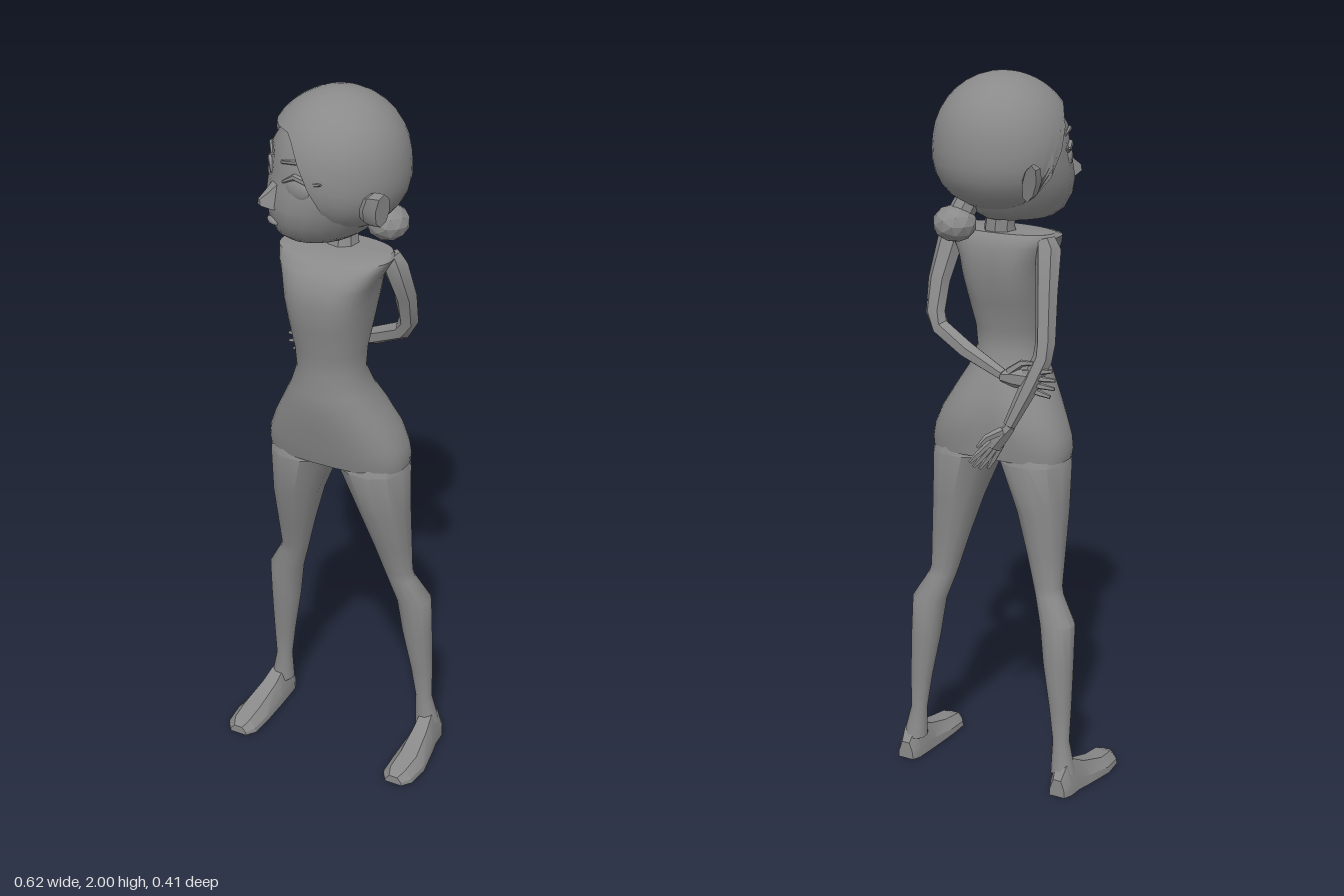
import * as THREE from 'three';
import { toCreasedNormals } from 'three/addons/utils/BufferGeometryUtils.js';

const material = new THREE.MeshStandardMaterial({ color: 0x8a8a8a });
const V = (x, y, z) => new THREE.Vector3(x, y, z);

// Skin a closed surface over rings of points, capped at both ends
function loft(rings, crease = 0.6) {
  const n = rings[0].length, pos = [], idx = [];
  rings.forEach(r => r.forEach(p => pos.push(p.x, p.y, p.z)));
  for (let i = 0; i < rings.length - 1; i++)
    for (let j = 0; j < n; j++) {
      const a = i * n + j, b = i * n + (j + 1) % n;
      idx.push(a, a + n, b, b, a + n, b + n);
    }
  [0, rings.length - 1].forEach((k, end) => {
    const c = V(0, 0, 0);
    rings[k].forEach(p => c.addScaledVector(p, 1 / n));
    const ci = pos.length / 3;
    pos.push(c.x, c.y, c.z);
    for (let j = 0; j < n; j++) {
      const a = k * n + j, b = k * n + (j + 1) % n;
      if (end) idx.push(a, ci, b); else idx.push(a, b, ci);
    }
  });
  // Turn the faces outward whichever way the rings run
  const at = i => V(pos[3 * i], pos[3 * i + 1], pos[3 * i + 2]);
  let volume = 0;
  for (let i = 0; i < idx.length; i += 3) volume += at(idx[i]).dot(at(idx[i + 1]).cross(at(idx[i + 2])));
  if (volume < 0) for (let i = 0; i < idx.length; i += 3) [idx[i], idx[i + 1]] = [idx[i + 1], idx[i]];
  const g = new THREE.BufferGeometry();
  g.setAttribute('position', new THREE.Float32BufferAttribute(pos, 3));
  g.setIndex(idx);
  return toCreasedNormals(g, crease);
}

// Horizontal ring: height, centre, half sizes; e below 1 squares it off
const bend = (v, e) => Math.sign(v) * Math.abs(v) ** e;
const oval = (y, cx, cz, rx, rz, n, e = 1) => Array.from({ length: n }, (_, i) => {
  const a = (i + 0.5) / n * Math.PI * 2;
  return V(cx + bend(Math.cos(a), e) * rx, y, cz + bend(Math.sin(a), e) * rz);
});

// Tapered limb along points [x, y, z, radius]
function limb(points, sides = 6) {
  const p = points.map(q => V(q[0], q[1], q[2]));
  return loft(p.map((c, i) => {
    const d = p[Math.min(i + 1, p.length - 1)].clone().sub(p[Math.max(i - 1, 0)]).normalize();
    const u = V(0.2, 0.1, 1).cross(d).normalize(), v = d.clone().cross(u);
    return Array.from({ length: sides }, (_, j) => {
      const a = j / sides * Math.PI * 2, r = points[i][3];
      return c.clone().addScaledVector(u, Math.cos(a) * r).addScaledVector(v, Math.sin(a) * r);
    });
  }));
}

function add(parent, name, geometry, x = 0, y = 0, z = 0) {
  const m = new THREE.Mesh(geometry, material);
  m.name = name;
  m.position.set(x, y, z);
  parent.add(m);
  return m;
}

// Palm, four fingers and a thumb
function addHand(parent, name, wrist, dir, spread) {
  const hand = new THREE.Group();
  hand.name = name;
  parent.add(hand);
  const point = (along, across, r) => [...wrist.clone().addScaledVector(dir, along).addScaledVector(spread, across).toArray(), r];
  const normal = dir.clone().cross(spread).normalize();
  add(hand, 'palm', loft([[-0.01, 0.016], [0.025, 0.026], [0.065, 0.028]].map(([t, w]) =>
    Array.from({ length: 6 }, (_, i) => {
      const a = i / 6 * Math.PI * 2;
      return wrist.clone().addScaledVector(dir, t).addScaledVector(spread, Math.cos(a) * w)
        .addScaledVector(normal, Math.sin(a) * 0.014);
    }))));
  for (let i = -1.5; i < 2; i++)
    add(hand, 'finger', limb([point(0.05, i * 0.013, 0.009), point(0.1, i * 0.02, 0.009), point(0.145 - Math.abs(i) * 0.01, i * 0.024, 0.005)], 5));
  add(hand, 'thumb', limb([point(0.01, 0.015, 0.012), point(0.045, 0.045, 0.01), point(0.08, 0.05, 0.005)], 5));
}

// Hair cap whose lower edge follows a side-swept hairline and tucks under
function hairCap() {
  const rows = 16, cols = 36;
  return loft(Array.from({ length: rows + 1 }, (_, i) => Array.from({ length: cols }, (_, j) => {
    const az = j / cols * Math.PI * 2 - Math.PI;
    const edge = 1.0 + 1.75 * THREE.MathUtils.smoothstep(Math.abs(az + 0.2), 0.35, 1.6);
    const t = edge * Math.max(0.03, Math.min(1, i / (rows - 1)));
    const r = (i === rows ? 0.82 : 1) * 0.186;
    const side = r * Math.sin(t) * (1 + 0.15 * Math.max(0, -Math.cos(t)));
    return V(side * Math.sin(az), 1.814 + r * Math.cos(t), side * Math.cos(az) * (Math.cos(az) > 0 ? 1.04 : 1));
  })), 0.8);
}

function buildHead() {
  const head = new THREE.Group();
  head.name = 'head';
  head.position.set(-0.006, 0, 0.004);
  head.rotation.y = -0.65;
  // Face: height, half width, front z, back z
  const face = [[1.612, 0.075, 0.15, -0.05], [1.63, 0.1, 0.175, -0.08], [1.67, 0.128, 0.195, -0.11],
    [1.715, 0.15, 0.2, -0.13], [1.76, 0.162, 0.19, -0.14], [1.8, 0.166, 0.18, -0.14],
    [1.86, 0.16, 0.174, -0.13], [1.91, 0.13, 0.145, -0.11], [1.95, 0.08, 0.1, -0.08]];
  add(head, 'face', loft(face.map(([y, w, f, b]) => oval(y, 0, (f + b) / 2, w, (f - b) / 2, 20)), 0.9));
  add(head, 'hair', hairCap());
  // Low bun with its tie
  add(head, 'bun', toCreasedNormals(new THREE.IcosahedronGeometry(0.063, 1), 0.3), 0, 1.604, -0.138).scale.set(1, 0.8, 0.95);
  add(head, 'bunTie', limb([[0, 1.68, -0.09, 0.035], [0, 1.63, -0.12, 0.035]], 8));
  for (const s of [-1, 1]) {
    // Ears flare outward towards the back
    add(head, 'ear', loft([[0.155, 0.01, 0.03, 0.012], [0.19, 0.0, 0.05, 0.014], [0.212, -0.018, 0.05, 0.01]].map(([x, z, h, t]) =>
      Array.from({ length: 8 }, (_, i) => {
        const a = i / 8 * Math.PI * 2;
        return V(s * (x + Math.sin(a) * 0.012), 1.738 + Math.sin(a) * h, z + Math.cos(a) * t * 2);
      }))));
    const eye = add(head, 'eye', new THREE.SphereGeometry(1, 14, 10), s * 0.078, 1.775, 0.155);
    eye.scale.set(0.04, 0.03, 0.014);
    eye.rotation.y = s * 0.45;
    add(head, 'eyelid', limb([[s * 0.035, 1.785, 0.178, 0.004], [s * 0.075, 1.81, 0.163, 0.009],
      [s * 0.115, 1.8, 0.138, 0.009], [s * 0.15, 1.81, 0.125, 0.003]]));
    add(head, 'eyebrow', limb([[s * 0.03, 1.838, 0.178, 0.005], [s * 0.08, 1.85, 0.158, 0.007], [s * 0.12, 1.84, 0.128, 0.003]]));
  }
  add(head, 'nose', loft([[0.17, 1.735, 0.035, 0.05], [0.205, 1.725, 0.022, 0.028], [0.23, 1.724, 0.009, 0.01]].map(([z, y, w, h]) =>
    [V(-w, y - h * 0.6, z), V(w, y - h * 0.6, z), V(w * 0.5, y + h, z), V(-w * 0.5, y + h, z)])));
  add(head, 'lips', new THREE.SphereGeometry(1, 10, 6), 0, 1.668, 0.192).scale.set(0.028, 0.01, 0.012);
  return head;
}

export function createModel() {
  const model = new THREE.Group();
  model.name = 'figure';
  // Torso: height, half width, front z, back z, depth of the back cleft, squareness
  const torso = [[0.95, 0.203, 0.116, -0.084, 0.02, 0.76], [0.975, 0.206, 0.124, -0.088, 0.03, 0.78], [1.01, 0.2, 0.133, -0.092, 0.035, 0.8],
    [1.06, 0.18, 0.145, -0.093, 0.025, 0.84], [1.12, 0.148, 0.158, -0.075, 0.01, 0.88], [1.18, 0.115, 0.163, -0.045, 0, 0.92],
    [1.24, 0.094, 0.155, -0.02, 0, 0.95], [1.3, 0.097, 0.16, -0.025, 0.003, 0.9], [1.38, 0.108, 0.176, -0.05, 0.006, 0.8],
    [1.45, 0.116, 0.186, -0.07, 0.008, 0.72], [1.5, 0.126, 0.18, -0.072, 0.006, 0.74], [1.54, 0.148, 0.158, -0.068, 0, 0.8],
    [1.565, 0.162, 0.125, -0.058, 0, 0.85], [1.576, 0.152, 0.085, -0.048, 0, 0.9]];
  add(model, 'torso', loft(torso.map(([y, w, f, b, cleft, e]) => oval(y, 0, (f + b) / 2, w, (f - b) / 2, 32, e).map(q => {
    if (q.z < 0) q.z += cleft * Math.exp(-((q.x / 0.03) ** 2));
    return q;
  })), 0.8));
  add(model, 'neck', limb([[0, 1.54, 0.01, 0.052], [0, 1.59, 0.0, 0.042], [-0.01, 1.66, 0.0, 0.042]], 8));
  model.add(buildHead());

  // Legs: height, centre x, centre z, half width, half depth
  const leg = [[0.98, 0.106, 0.018, 0.08, 0.08], [0.94, 0.106, 0.016, 0.1, 0.1], [0.8, 0.135, 0.008, 0.071, 0.08],
    [0.68, 0.153, -0.008, 0.053, 0.056], [0.59, 0.165, -0.02, 0.041, 0.039], [0.565, 0.172, -0.024, 0.041, 0.037],
    [0.49, 0.206, -0.04, 0.05, 0.047], [0.38, 0.214, -0.048, 0.043, 0.043], [0.25, 0.226, -0.057, 0.032, 0.03],
    [0.15, 0.232, -0.062, 0.024, 0.022], [0.06, 0.242, -0.068, 0.034, 0.036]];
  // Feet: z, centre x, half width, height
  const foot = [[-0.115, 0.248, 0.024, 0.05], [-0.09, 0.248, 0.034, 0.085], [-0.045, 0.248, 0.036, 0.092], [0.0, 0.252, 0.042, 0.068],
    [0.09, 0.259, 0.051, 0.042], [0.155, 0.257, 0.046, 0.034], [0.182, 0.256, 0.026, 0.024]];
  for (const s of [-1, 1]) {
    add(model, 'leg', loft(leg.map(([y, x, z, rx, rz]) => oval(y, s * x, z, rx, rz, 12, 0.92)), 0.7));
    add(model, 'foot', loft(foot.map(([z, x, w, h]) => [[-1, 0], [1, 0], [0.95, 0.4], [0.5, 1], [-0.5, 1], [-0.95, 0.4]]
      .map(([a, b]) => V(s * x + a * w, b * h, z))), 0.4));
  }

  // Left arm folds across the back; right arm hangs behind the hip
  add(model, 'leftArm', limb([[0.14, 1.565, 0, 0.026], [0.15, 1.535, -0.004, 0.036], [0.16, 1.43, -0.05, 0.031], [0.157, 1.345, -0.077, 0.028],
    [0.135, 1.305, -0.085, 0.026], [0.04, 1.258, -0.105, 0.025], [-0.08, 1.212, -0.125, 0.017]]));
  addHand(model, 'leftHand', V(-0.085, 1.208, -0.125), V(-0.97, -0.08, 0.2).normalize(), V(-0.08, 1, 0));
  add(model, 'rightArm', limb([[-0.14, 1.565, 0, 0.026], [-0.15, 1.535, -0.004, 0.036], [-0.165, 1.43, -0.04, 0.031], [-0.18, 1.3, -0.074, 0.028],
    [-0.178, 1.26, -0.086, 0.027], [-0.15, 1.18, -0.115, 0.025], [-0.11, 1.08, -0.145, 0.017]]));
  addHand(model, 'rightHand', V(-0.108, 1.07, -0.147), V(0.55, -0.8, -0.25).normalize(), V(0.3, 0.42, -0.85).normalize());
  return model;
}
